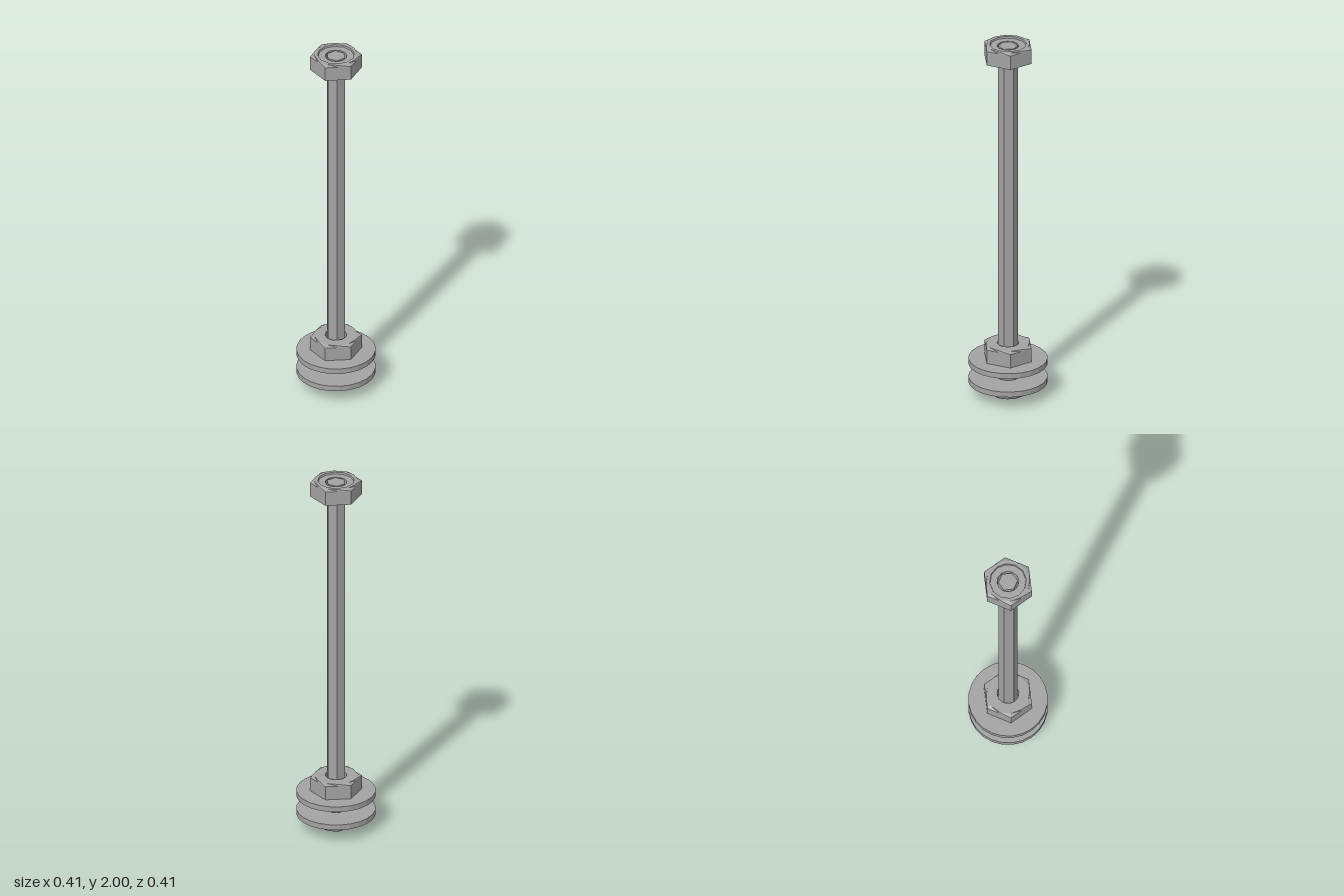
import * as THREE from 'three';

const steel = new THREE.MeshStandardMaterial({ color: 0xa3a3a3, flatShading: true });
steel.name = 'steel';

function mesh(name, geometry) {
  const m = new THREE.Mesh(geometry, steel);
  m.name = name;
  return m;
}

// Closed ring profile [radius, y], listed counter-clockwise, spun about y
function ring(points, sides) {
  return new THREE.LatheGeometry(points.map(p => new THREE.Vector2(...p)), sides);
}

// Twelve-sided lathe whose outer wall is pulled out at every second point into a hexagon
const FLAT = 0.117;
function nutGeometry(bottom, top, recess) {
  const hole = 0.057;
  const rim = [[hole, bottom], [FLAT, bottom], [FLAT, top - 0.009], [0.114, top]];
  const inside = recess
    ? [[0.096, top], [0.094, top - recess], [hole, top - recess]]
    : [[hole, top]];
  const geo = ring([...rim, ...inside, [hole, bottom]], 12);
  const pos = geo.attributes.position;
  for (let i = 0; i < pos.count; i++) {
    const x = pos.getX(i), z = pos.getZ(i);
    if (Math.hypot(x, z) < FLAT - 0.001) continue;
    const step = Math.round(Math.atan2(x, z) / (Math.PI / 6));
    if (Math.abs(step) % 2 === 1) {
      const k = 1 / Math.cos(Math.PI / 6);
      pos.setX(i, x * k);
      pos.setZ(i, z * k);
    }
  }
  return geo;
}

function washerGeometry(bottom, top) {
  const inner = 0.06, outer = 0.207;
  return ring([[inner, bottom], [outer, bottom], [outer, top], [inner, top], [inner, bottom]], 24);
}

// Half of the rounded head end, with a straight slot side and a cross notch
function headHalfGeometry() {
  const slot = 0.03, notch = 0.06, steps = 12;
  const levels = [[0.11, 0.03], [0.104, 0.016], [0.093, 0.007], [0.075, 0]];
  const outlines = levels.map(([r]) => {
    const start = Math.asin(slot / r), pts = [];
    for (let i = 0; i <= steps; i++) {
      const a = start + (Math.PI - 2 * start) * i / steps;
      pts.push(new THREE.Vector2(r * Math.cos(a), r * Math.sin(a)));
    }
    for (const [x, z] of [[-slot, slot], [-slot, notch], [slot, notch], [slot, slot]])
      pts.push(new THREE.Vector2(x, z));
    return pts;
  });
  const n = outlines[0].length, position = [], index = [];
  outlines.forEach((pts, i) => pts.forEach(p => position.push(p.x, levels[i][1], p.y)));
  for (let i = 0; i < levels.length - 1; i++) {
    for (let j = 0; j < n; j++) {
      const a = i * n + j, b = i * n + (j + 1) % n;
      index.push(a, b, a + n, b, b + n, a + n);
    }
  }
  const last = (levels.length - 1) * n;
  for (const f of THREE.ShapeUtils.triangulateShape(outlines[levels.length - 1], []))
    index.push(...f.map(v => v + last));
  const geo = new THREE.BufferGeometry();
  geo.setAttribute('position', new THREE.Float32BufferAttribute(position, 3));
  geo.setIndex(index);
  geo.computeVertexNormals();
  return geo;
}

export function createModel() {
  const model = new THREE.Group();
  model.name = 'boltAssembly';

  // Six-sided shaft
  const shaftBottom = 0.05, shaftTop = 1.99;
  const shaft = mesh('shaft', new THREE.CylinderGeometry(0.051, 0.051, shaftTop - shaftBottom, 6));
  shaft.position.y = (shaftBottom + shaftTop) / 2;
  model.add(shaft);

  // Slotted head
  const head = new THREE.Group();
  head.name = 'head';
  const base = mesh('headBase', new THREE.CylinderGeometry(0.11, 0.11, 0.04, 24));
  base.position.y = 0.05;
  head.add(base);
  const half = headHalfGeometry();
  for (const turn of [0, Math.PI]) {
    const part = mesh('headHalf', half);
    part.rotation.y = turn;
    head.add(part);
  }
  model.add(head);

  // Washers and nuts
  model.add(mesh('lowerWasher', washerGeometry(0.07, 0.1)));
  model.add(mesh('upperWasher', washerGeometry(0.175, 0.205)));
  model.add(mesh('clampNut', nutGeometry(0.205, 0.29, 0)));
  model.add(mesh('endNut', nutGeometry(1.912, 2, 0.01)));
  return model;
}
